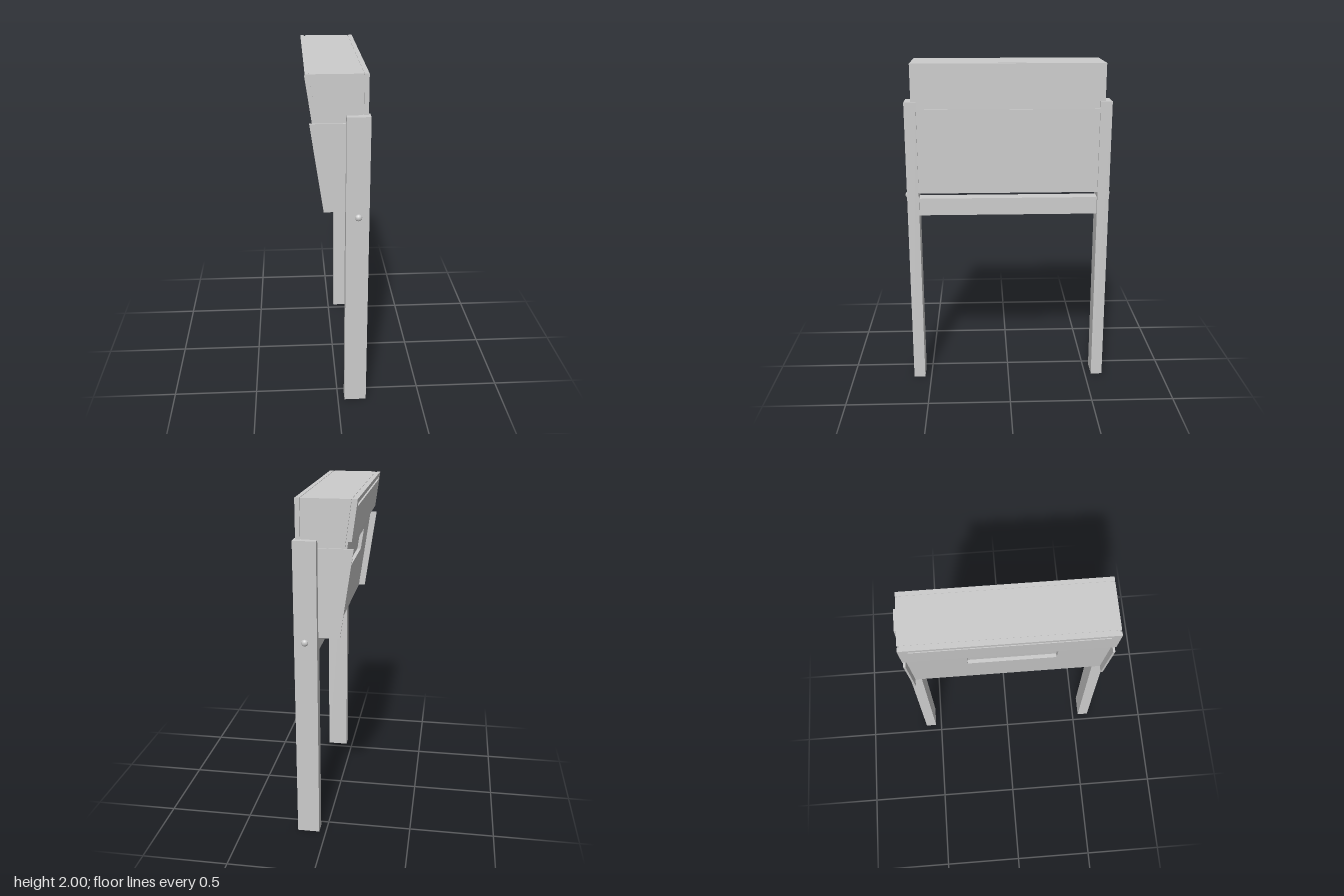
import * as THREE from 'three';

export function createModel() {
  const group = new THREE.Group();
  const material = new THREE.MeshStandardMaterial({ color: 0xcccccc, flatShading: true });

  const add = (name, geometry) => {
    const mesh = new THREE.Mesh(geometry, material);
    mesh.name = name;
    group.add(mesh);
    return mesh;
  };

  const box = (name, x0, x1, y0, y1, z0, z1) =>
    add(name, new THREE.BoxGeometry(x1 - x0, y1 - y0, z1 - z0))
      .position.set((x0 + x1) / 2, (y0 + y1) / 2, (z0 + z1) / 2);

  // Side profile (x, y) extruded along z
  const prism = (name, points, z0, z1) => {
    const shape = new THREE.Shape(points.map(([x, y]) => new THREE.Vector2(x, y)));
    const geometry = new THREE.ExtrudeGeometry(shape, { depth: z1 - z0, bevelEnabled: false });
    add(name, geometry.translate(0, 0, z0));
  };

  const rect = (path, x0, x1, y0, y1) =>
    path.moveTo(x0, y0).lineTo(x1, y0).lineTo(x1, y1).lineTo(x0, y1).closePath();

  // Sloping plate facing -x, with a rectangular opening
  const slopedPanel = (name, halfWidth, y0, y1, front, thickness, [z0, z1, h0, h1]) => {
    const shape = rect(new THREE.Shape(), -halfWidth, halfWidth, y0, y1);
    shape.holes.push(rect(new THREE.Path(), -z1, -z0, h0, h1));
    const geometry = new THREE.ExtrudeGeometry(shape, { depth: thickness, bevelEnabled: false });
    geometry.rotateY(Math.PI / 2);
    const p = geometry.attributes.position;
    for (let i = 0; i < p.count; i++) p.setX(i, p.getX(i) + front(p.getY(i)));
    geometry.computeVertexNormals();
    add(name, geometry);
  };

  const lowerFront = y => -0.155 + 0.148 * (1.735 - y);
  const upperFront = y => -0.175 + 0.136 * (2 - y);
  const slab = (front, offset, back, y0, y1) =>
    [[front(y0) + offset, y0], [back, y0], [back, y1], [front(y1) + offset, y1]];

  // Posts with round-headed bolts
  for (const s of [-1, 1]) {
    const name = s > 0 ? 'left' : 'right';
    box(name + 'Post', 0.04, 0.17, 0, 1.78, Math.min(s * 0.54, s * 0.61), Math.max(s * 0.54, s * 0.61));
    const head = new THREE.SphereGeometry(0.02, 12, 6, 0, Math.PI * 2, 0, Math.PI / 2);
    head.scale(1, 0.75, 1).rotateX(s * Math.PI / 2);
    add(name + 'Bolt', head).position.set(0.11, 1.21, s * 0.61);
  }
  box('crossBar', 0.07, 0.15, 1.09, 1.195, -0.54, 0.54);

  // Lower compartment: inner block, end plates and recessed front with name window
  prism('lowerBody', slab(lowerFront, 0.062, 0.16, 1.23, 1.735), -0.558, 0.558);
  for (const s of [-1, 1]) {
    prism('lowerEndPlate', slab(lowerFront, 0, 0.16, 1.23, 1.735),
      s > 0 ? 0.558 : -0.57, s > 0 ? 0.57 : -0.558);
  }
  slopedPanel('lowerFrontPanel', 0.558, 1.23, 1.735, y => lowerFront(y) + 0.04, 0.022,
    [-0.23, 0.27, 1.55, 1.68]);

  // Upper compartment: inset core leaves narrow seams between the outer parts
  prism('upperCore', slab(upperFront, 0.02, 0.155, 1.73, 1.998), -0.56, 0.56);
  prism('upperBody', slab(upperFront, 0.032, 0.128, 1.745, 2), -0.57, 0.57);
  box('backPanel', 0.134, 0.16, 1.745, 2, -0.57, 0.57);

  // Letter flap with a long grip slot
  slopedPanel('frontFlap', 0.57, 1.775, 2, upperFront, 0.022, [-0.52, 0.52, 1.955, 1.972]);

  return group;
}
